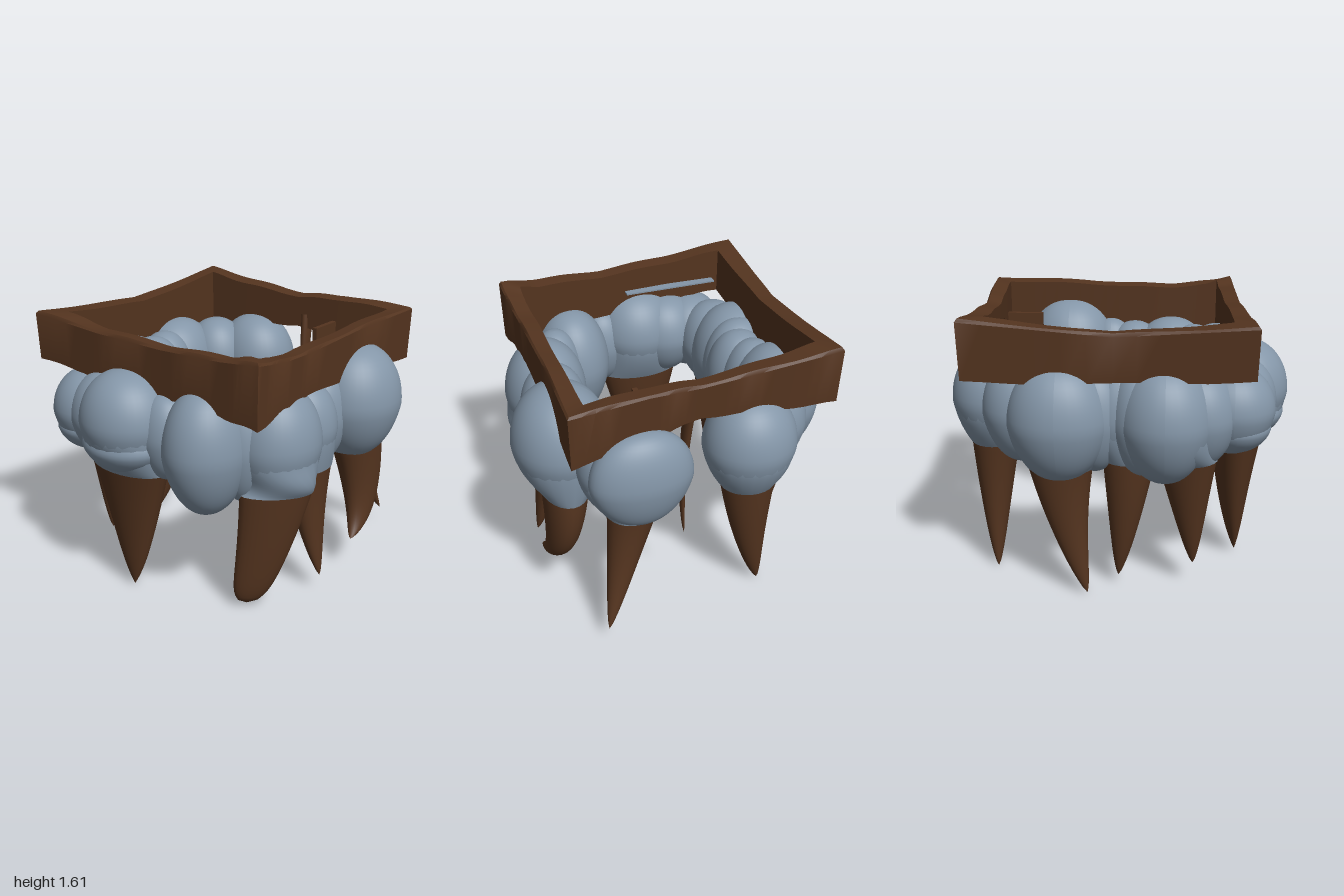
import * as THREE from 'three';
import { toCreasedNormals } from 'three/addons/utils/BufferGeometryUtils.js';

const V = (x, y, z) => new THREE.Vector3(x, y, z);
const mix = THREE.MathUtils.lerp;

// Surface through closed loops of equal length, given as arrays of points
function loft(loops, closeEnds) {
  const n = loops[0].length, pos = [], idx = [];
  loops.forEach(l => l.forEach(p => pos.push(p.x, p.y, p.z)));
  const rows = closeEnds ? loops.length : loops.length - 1;
  for (let i = 0; i < rows; i++) for (let j = 0; j < n; j++) {
    const k = (i + 1) % loops.length, m = (j + 1) % n;
    const a = i * n + j, b = i * n + m, c = k * n + j, d = k * n + m;
    idx.push(a, b, c, b, d, c);
  }
  const g = new THREE.BufferGeometry();
  g.setAttribute('position', new THREE.Float32BufferAttribute(pos, 3));
  g.setIndex(idx);
  g.computeVertexNormals();
  return g;
}

// Level ellipse, optionally turned about the vertical
const ellipse = (c, a, b, turn) => Array.from({ length: 24 }, (_, j) => {
  const q = j / 24 * Math.PI * 2, u = a * Math.cos(q), v = b * Math.sin(q);
  return V(c.x + u * Math.cos(turn) - v * Math.sin(turn), c.y, c.z + u * Math.sin(turn) + v * Math.cos(turn));
});

// Rounded crown: a sphere, fuller at the sides and narrower below
function crownGeometry() {
  const g = new THREE.SphereGeometry(1, 40, 28), p = g.attributes.position;
  for (let i = 0; i < p.count; i++) {
    const r = Math.hypot(p.getX(i), p.getZ(i)), low = Math.max(0, -p.getY(i));
    const k = (r > 1e-4 ? Math.pow(r, -0.12) : 1) * (1 - 0.15 * low);
    p.setXYZ(i, p.getX(i) * k, p.getY(i), p.getZ(i) * k);
  }
  g.computeVertexNormals();
  return g;
}

// Tapered root following a bent path from base to tip
function rootGeometry({ base, bend, tip, rx, rz, blunt = 0.1, power = 0.9, turn = 0 }) {
  const path = new THREE.QuadraticBezierCurve3(V(...base), V(...bend), V(...tip));
  const loops = [];
  for (let i = 0; i <= 24; i++) {
    const t = i / 24;
    const s = mix(blunt, 1, Math.pow(1 - t, power)) * Math.sqrt(Math.max(0, 1 - Math.pow(t, 12)));
    loops.push(ellipse(path.getPoint(t), rx * s, rz * s, turn));
  }
  return loft(loops, false);
}

// Neck narrowing from the middle of a crown down to a root
function neckGeometry([x, y, z, cx, , cz], { base, rx, rz, turn = 0 }) {
  const top = V(x, y - 0.04, z), end = V(...base), loops = [];
  for (let i = 0; i <= 12; i++) {
    const t = i / 12, s = Math.pow(t, 1.6);
    const c = top.clone().lerp(end, t);
    c.x = mix(x, end.x, s);
    c.z = mix(z, end.z, s);
    loops.push(ellipse(c, mix(cx * 0.96, rx * 1.03, s), mix(cz * 0.96, rz * 1.03, s), turn * s));
  }
  return loft(loops, false);
}

// Uneven square frame: each key is outer x, z, inner x, z, bottom, top
function frameGeometry() {
  const keys = [
    [-0.83, 0.76, -0.69, 0.63, 1.31, 1.60], [-0.35, 0.74, -0.35, 0.64, 1.28, 1.56],
    [0.10, 0.71, 0.10, 0.62, 1.26, 1.54], [0.50, 0.70, 0.50, 0.60, 1.24, 1.55],
    [0.74, 0.69, 0.63, 0.59, 1.20, 1.57], [0.73, 0.45, 0.63, 0.45, 1.25, 1.53],
    [0.72, 0.20, 0.62, 0.20, 1.26, 1.52], [0.72, -0.30, 0.63, -0.30, 1.26, 1.54],
    [0.74, -0.88, 0.63, -0.77, 1.23, 1.55], [0.30, -0.84, 0.30, -0.74, 1.28, 1.56],
    [0.0, -0.81, 0.0, -0.72, 1.34, 1.54], [-0.40, -0.81, -0.40, -0.70, 1.30, 1.57],
    [-0.80, -0.82, -0.69, -0.69, 1.27, 1.61], [-0.79, 0.0, -0.69, 0.0, 1.27, 1.54],
  ];
  const loops = [], steps = 6;
  keys.forEach((a, i) => {
    const b = keys[(i + 1) % keys.length];
    for (let s = 0; s < steps; s++) {
      const [ox, oz, ix, iz, lo, hi] = a.map((v, k) => mix(v, b[k], s / steps));
      const w = 0.008 * Math.sin((i * steps + s) * 0.9);
      loops.push([V(ox * 0.99, lo + w, oz * 0.99), V(ox, hi - 0.015, oz), V(ox * 0.985, hi + w * 0.6, oz * 0.985),
        V(ix, hi - 0.01 + w * 0.6, iz), V(ix, lo + w, iz)]);
    }
  });
  // Reversed so the faces point outward
  return toCreasedNormals(loft(loops.reverse(), true), 0.6);
}

export function createModel() {
  const model = new THREE.Group();
  const brown = new THREE.MeshStandardMaterial({ color: 0x54341f, side: THREE.DoubleSide });
  brown.name = 'brown';
  const grey = new THREE.MeshStandardMaterial({ color: 0x8496a8, side: THREE.DoubleSide });
  grey.name = 'blueGrey';
  const group = name => {
    const g = new THREE.Group();
    g.name = name;
    model.add(g);
    return g;
  };
  const add = (name, geometry, material, parent = model) => {
    const m = new THREE.Mesh(geometry, material);
    m.name = name;
    parent.add(m);
    return m;
  };

  add('topFrame', frameGeometry(), brown);

  // Ring of crowns: centre, then radii
  const crown = {
    front: [-0.15, 1.07, 0.72, 0.28, 0.30, 0.27], frontLow: [-0.15, 0.94, 0.74, 0.27, 0.16, 0.23],
    frontEnd: [-0.50, 1.05, 0.65, 0.23, 0.25, 0.24], frontEndLow: [-0.50, 0.95, 0.67, 0.20, 0.14, 0.20],
    frontCorner: [0.33, 0.97, 0.60, 0.24, 0.37, 0.27], sideFront: [0.58, 0.98, 0.30, 0.25, 0.34, 0.27],
    sideMiddle: [0.59, 1.01, 0.06, 0.20, 0.28, 0.20], sideBack: [0.66, 1.07, -0.37, 0.28, 0.35, 0.30],
    backOuter: [0.35, 1.06, -0.84, 0.29, 0.29, 0.16], backInner: [0.46, 1.05, -0.68, 0.20, 0.28, 0.20],
    backFar: [-0.33, 1.05, -0.71, 0.27, 0.31, 0.25], farBack: [-0.68, 1.02, -0.30, 0.25, 0.34, 0.29],
    farMiddle: [-0.59, 1.02, 0.03, 0.20, 0.30, 0.20], farFront: [-0.67, 1.02, 0.28, 0.27, 0.34, 0.27],
  };
  // Bridges that fuse neighbouring crowns into one band
  const bridges = [
    [-0.33, 1.05, 0.67, 0.24, 0.27, 0.24], [0.10, 1.02, 0.68, 0.17, 0.25, 0.15],
    [0.47, 0.98, 0.45, 0.17, 0.32, 0.18], [0.62, 1.03, -0.10, 0.14, 0.27, 0.17],
    [-0.53, 1.04, -0.53, 0.22, 0.30, 0.22], [-0.62, 1.02, -0.11, 0.19, 0.30, 0.19],
    [-0.63, 1.02, 0.14, 0.22, 0.32, 0.18], [-0.60, 1.03, 0.46, 0.22, 0.28, 0.22],
  ];
  const crowns = group('crowns'), ball = crownGeometry();
  [...Object.values(crown), ...bridges].forEach(([x, y, z, a, b, c]) => {
    const m = add('crown', ball, grey, crowns);
    m.position.set(x, y, z);
    m.scale.set(a, b, c);
  });

  // Hanging roots, each joined to its crown by a neck
  const roots = group('roots'), necks = group('necks');
  [
    { on: 'front', base: [-0.16, 0.79, 0.70], bend: [-0.17, 0.4, 0.68], tip: [-0.15, 0.01, 0.72],
      rx: 0.26, rz: 0.15, blunt: 0.05, power: 0.8 },
    { on: 'farFront', base: [-0.62, 0.80, 0.40], bend: [-0.61, 0.5, 0.42], tip: [-0.60, 0.14, 0.45], rx: 0.15, rz: 0.17 },
    { on: 'farMiddle', base: [-0.60, 0.79, 0.08], bend: [-0.64, 0.4, 0.06], tip: [-0.62, 0.06, 0.02], rx: 0.14, rz: 0.15 },
    { on: 'farBack', base: [-0.66, 0.75, -0.30], bend: [-0.68, 0.4, -0.28], tip: [-0.75, 0.01, -0.15], rx: 0.13, rz: 0.18 },
    { on: 'backFar', base: [-0.33, 0.79, -0.72], bend: [-0.34, 0.35, -0.74], tip: [-0.44, 0.00, -0.72], rx: 0.16, rz: 0.14 },
    { on: 'backInner', base: [0.38, 0.79, -0.76], bend: [0.45, 0.45, -0.79], tip: [0.58, 0.11, -0.93], rx: 0.14, rz: 0.13 },
    { on: 'sideBack', base: [0.67, 0.78, -0.42], bend: [0.71, 0.3, -0.52], tip: [0.78, 0.23, -0.22],
      rx: 0.13, rz: 0.20, power: 0.8 },
    { on: 'sideMiddle', base: [0.62, 0.78, 0.05], bend: [0.65, 0.45, 0.07], tip: [0.75, 0.10, 0.07], rx: 0.13, rz: 0.17 },
    { on: 'sideFront', base: [0.64, 0.73, 0.38], bend: [0.60, 0.35, 0.42], tip: [0.52, 0.02, 0.48],
      rx: 0.205, rz: 0.10, blunt: 0.46, turn: -Math.PI / 4 },
  ].forEach(r => {
    add('root', rootGeometry(r), brown, roots);
    add('neck', neckGeometry(crown[r.on], r), grey, necks);
  });

  // Loose strand and torn flap at the gap in the back
  add('backStrand', rootGeometry({ base: [0.05, 1.42, -0.76], bend: [0.08, 0.9, -0.68], tip: [0.05, 0.5, -0.71],
    rx: 0.03, rz: 0.05, blunt: 0.25 }), brown);
  add('backFlap', new THREE.BoxGeometry(0.03, 0.38, 0.22), brown).position.set(0.275, 1.22, -0.62);

  // Thin sliver along the inside of the front rail
  add('innerSliver', new THREE.BoxGeometry(0.6, 0.009, 0.06), grey).position.set(-0.35, 1.40, 0.61);
  return model;
}
